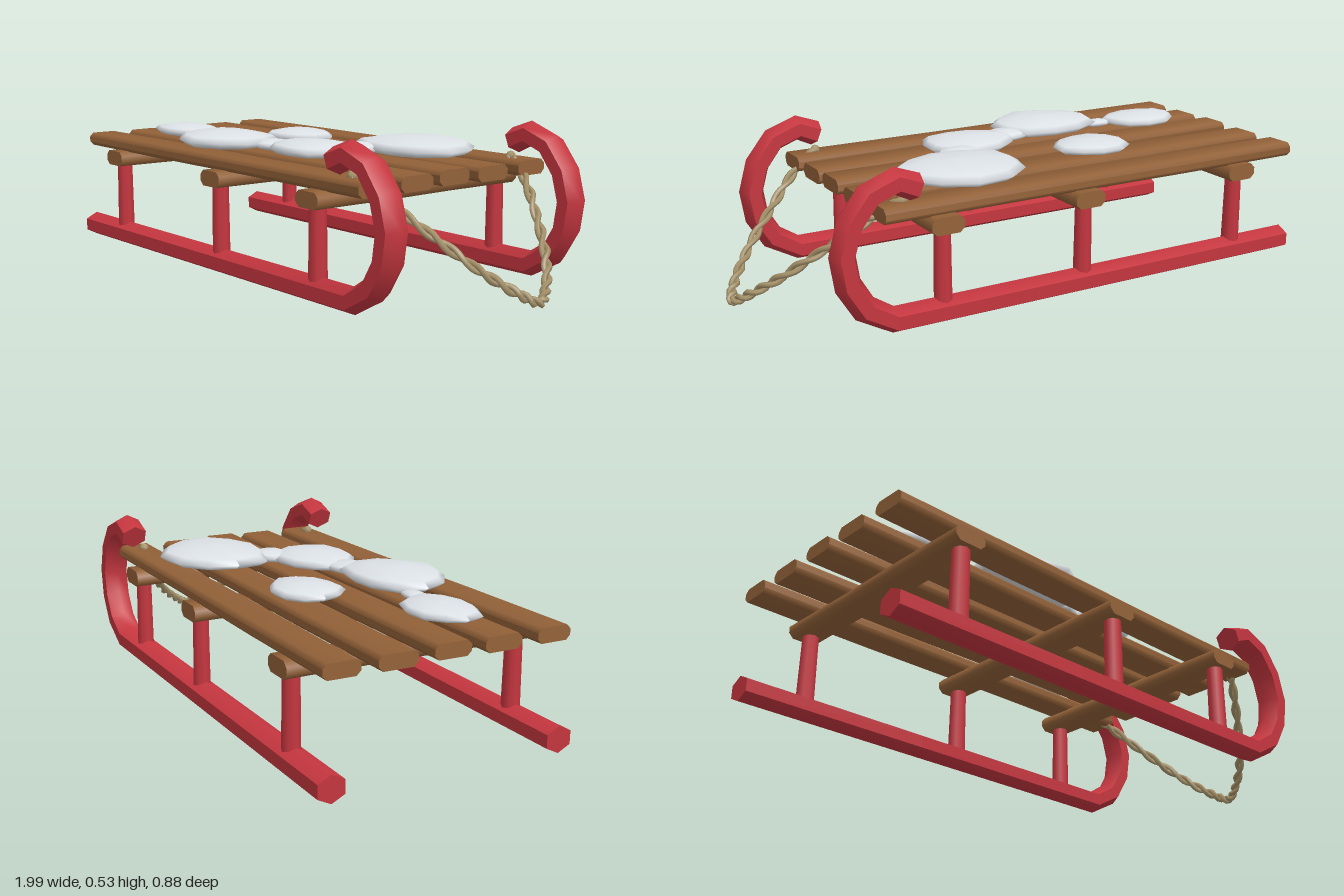
import * as THREE from 'three';
import { toCreasedNormals } from 'three/addons/utils/BufferGeometryUtils.js';

const material = (name, color, extra = {}) => {
  const m = new THREE.MeshStandardMaterial({ color, ...extra });
  m.name = name;
  return m;
};

// Closed solid lofted through rings of equal point count, with capped ends
function loft(rings, crease) {
  const n = rings[0].length, pos = rings.flat().flatMap(p => p.toArray()), index = [];
  for (let i = 0; i < rings.length - 1; i++) {
    for (let j = 0; j < n; j++) {
      const a = i * n + j, b = i * n + (j + 1) % n;
      index.push(a, b, a + n, b, b + n, a + n);
    }
  }
  const last = (rings.length - 1) * n;
  for (let j = 1; j < n - 1; j++) index.push(0, j + 1, j, last, last + j, last + j + 1);
  const g = new THREE.BufferGeometry();
  g.setAttribute('position', new THREE.Float32BufferAttribute(pos, 3));
  g.setIndex(index);
  return toCreasedNormals(g, crease);
}

// Bar along x with a worn, chamfered section
function barGeometry(length, height, width) {
  const w = width / 2, h = height / 2, c = height * 0.3;
  const section = [[w, h - c], [w - c, h], [c - w, h], [-w, h - c], [-w, c - h], [c - w, -h], [w - c, -h], [w, c - h]];
  const rings = [-0.5, -0.2, 0.15, 0.5].map((t, i) => {
    const s = i % 2 ? 1 : 0.96;
    return section.map(([z, y]) => new THREE.Vector3(t * length, y * s, z * s)).reverse();
  });
  return loft(rings, 0.9);
}

// Runner: six-sided bar swept along a line with an upturned curl
function runnerGeometry() {
  const path = [[-1, 0.041], [-0.3, 0.043], [0.595, 0.045], [0.69, 0.1], [0.742, 0.185], [0.757, 0.28],
    [0.73, 0.375], [0.667, 0.455], [0.58, 0.487], [0.51, 0.459]].map(p => new THREE.Vector2(...p));
  const rings = path.map((p, i) => {
    const before = path[Math.max(i - 1, 0)], after = path[Math.min(i + 1, path.length - 1)];
    const t = after.clone().sub(before).normalize();
    return Array.from({ length: 6 }, (_, j) => {
      const a = -j * Math.PI / 3, u = Math.cos(a) * 0.044;
      return new THREE.Vector3(p.x - t.y * u, p.y + t.x * u, Math.sin(a) * 0.051);
    }).reverse();
  });
  return loft(rings, 1.1);
}

// Flattened, slightly irregular snow mound
function moundGeometry(rx, ry, rz, seed) {
  const g = new THREE.SphereGeometry(1, 11, 6), p = g.attributes.position;
  for (let i = 0; i < p.count; i++) {
    const x = p.getX(i), y = p.getY(i), z = p.getZ(i), a = Math.atan2(z, x);
    const k = 1 + 0.05 * Math.sin(3 * a + seed) + 0.03 * Math.sin(5 * a + 2 * seed);
    p.setXYZ(i, x * rx * k, y * ry, z * rz * k);
  }
  g.computeVertexNormals();
  return g;
}

// One strand winding around a centre line
class Strand extends THREE.Curve {
  constructor(centre, phase) {
    super();
    this.centre = centre;
    this.phase = phase;
  }
  getPoint(t, target = new THREE.Vector3()) {
    const c = this.centre.getPoint(t), d = this.centre.getTangent(t);
    const u = new THREE.Vector3(0.6, 0.8, 0).cross(d).normalize(), v = d.clone().cross(u);
    const a = t * Math.PI * 22 + this.phase;
    return target.copy(c).addScaledVector(u, Math.cos(a) * 0.009).addScaledVector(v, Math.sin(a) * 0.009);
  }
}

export function createModel() {
  const sled = new THREE.Group();
  sled.name = 'sled';
  const wood = material('wood', 0x936239);
  const red = material('red paint', 0xc5363f);
  const snow = material('snow', 0xdde2e7);
  const rope = material('rope', 0xa8946b);
  const add = (name, geometry, mat, x = 0, y = 0, z = 0) => {
    const mesh = new THREE.Mesh(geometry, mat);
    mesh.name = name;
    mesh.position.set(x, y, z);
    sled.add(mesh);
    return mesh;
  };

  // Seat slats: z, width, height offset, yaw
  [[-0.36, 0.125, 0, 0.008], [-0.178, 0.135, -0.002, 0.01], [0, 0.13, 0.003, 0.006],
    [0.168, 0.135, -0.001, -0.004], [0.347, 0.125, 0, -0.008]].forEach(([z, width, dy, yaw]) => {
    add('slat', barGeometry(1.62, 0.05, width), wood, -0.19, 0.381 + dy, z).rotation.y = -yaw;
  });

  // Crossbeams and the posts below them
  for (const x of [-0.76, -0.11, 0.42]) {
    add('crossbeam', barGeometry(0.88, 0.056, 0.115), wood, x, 0.332, 0).rotation.y = Math.PI / 2;
    for (const side of [-1, 1]) {
      add('post', new THREE.CylinderGeometry(0.028, 0.031, 0.26, 8), red, x, 0.19, side * 0.395);
    }
  }

  // Runners
  for (const side of [-1, 1]) add('runner', runnerGeometry(), red, 0, 0, side * 0.395);

  // Snow: x, z, half length, half depth, half height, centre height
  [[-0.73, 0.13, 0.155, 0.11, 0.025, 0.422], [-0.33, -0.12, 0.145, 0.118, 0.026, 0.42],
    [-0.335, 0.215, 0.21, 0.165, 0.034, 0.431], [0.04, 0.115, 0.175, 0.14, 0.03, 0.425],
    [0.24, -0.19, 0.23, 0.19, 0.035, 0.43],
    [-0.55, 0.155, 0.06, 0.035, 0.014, 0.418], [-0.14, 0.15, 0.09, 0.07, 0.02, 0.424],
    [0.14, -0.01, 0.08, 0.07, 0.022, 0.426]].forEach(([x, z, rx, rz, ry, y], i) => {
    add('snowMound', moundGeometry(rx, ry, rz, i * 1.7), snow, x, y, z);
  });

  // Twisted pull rope hanging between the curls
  const half = [[0.53, 0.41, 0.35], [0.62, 0.355, 0.315], [0.75, 0.25, 0.235], [0.87, 0.148, 0.145], [0.945, 0.08, 0.06]];
  const points = [...half, [0.975, 0.05, 0], ...half.slice().reverse().map(([x, y, z]) => [x, y, -z])];
  const centre = new THREE.CatmullRomCurve3(points.map(p => new THREE.Vector3(...p)));
  for (const phase of [0, Math.PI]) {
    add('ropeStrand', new THREE.TubeGeometry(new Strand(centre, phase), 110, 0.0095, 5), rope);
  }
  // Knots where the rope meets the curls
  for (const side of [-1, 1]) {
    add('ropeKnot', new THREE.SphereGeometry(0.018, 6, 5), rope, 0.53, 0.41, side * 0.35);
  }
  return sled;
}
